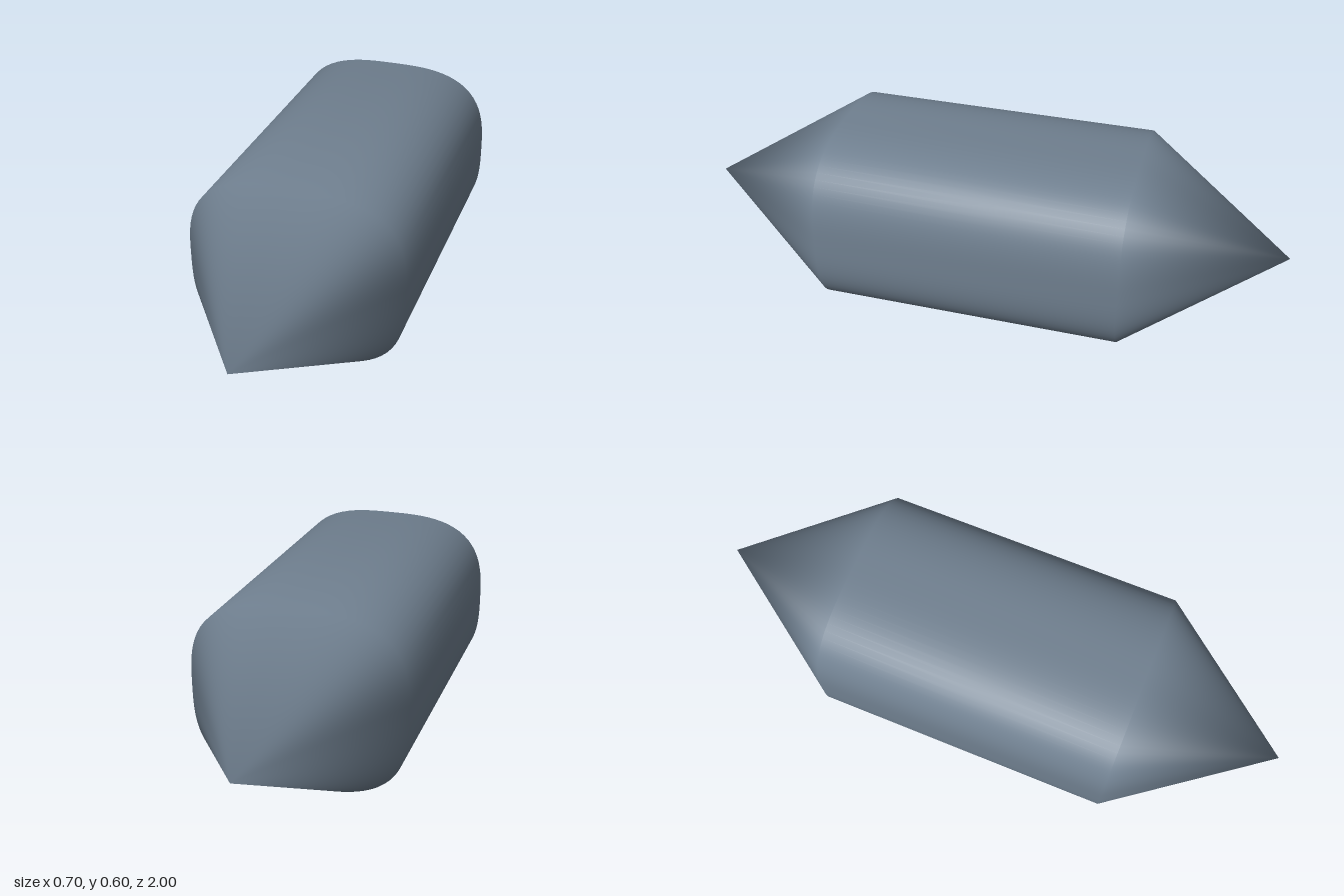
import * as THREE from 'three';

const SEGMENTS = 96;
const HALF_WIDTH = 0.35;
const HALF_HEIGHT = 0.3;
const EXPONENT = 3;

// Point on the rounded-square cross-section
function sectionPoint(i) {
  const a = (i / SEGMENTS) * Math.PI * 2;
  const c = Math.cos(a), s = Math.sin(a);
  const r = Math.pow(Math.abs(c) ** EXPONENT + Math.abs(s) ** EXPONENT, -1 / EXPONENT);
  return [HALF_WIDTH * r * c, HALF_HEIGHT + HALF_HEIGHT * r * s];
}

// Straight prism closed by a pointed cone at each end, with shared smooth normals
function pointedPrism() {
  const positions = [], indices = [];
  for (const z of [-0.5, 0.5]) {
    for (let i = 0; i < SEGMENTS; i++) positions.push(...sectionPoint(i), z);
  }
  const backTip = 2 * SEGMENTS, frontTip = backTip + 1;
  positions.push(0, HALF_HEIGHT, -1, 0, HALF_HEIGHT, 1);

  for (let i = 0; i < SEGMENTS; i++) {
    const j = (i + 1) % SEGMENTS;
    const fi = i + SEGMENTS, fj = j + SEGMENTS;
    indices.push(i, j, fj, i, fj, fi); // side
    indices.push(j, i, backTip);       // back point
    indices.push(fi, fj, frontTip);    // front point
  }

  const geometry = new THREE.BufferGeometry();
  geometry.setAttribute('position', new THREE.Float32BufferAttribute(positions, 3));
  geometry.setIndex(indices);
  geometry.computeVertexNormals();
  return geometry;
}

export function createModel() {
  const slate = new THREE.MeshStandardMaterial({ color: 0x708090 });
  slate.name = 'slate';

  const body = new THREE.Mesh(pointedPrism(), slate);
  body.name = 'pointedBody';

  const model = new THREE.Group();
  model.name = 'pointedCapsule';
  model.add(body);
  return model;
}
